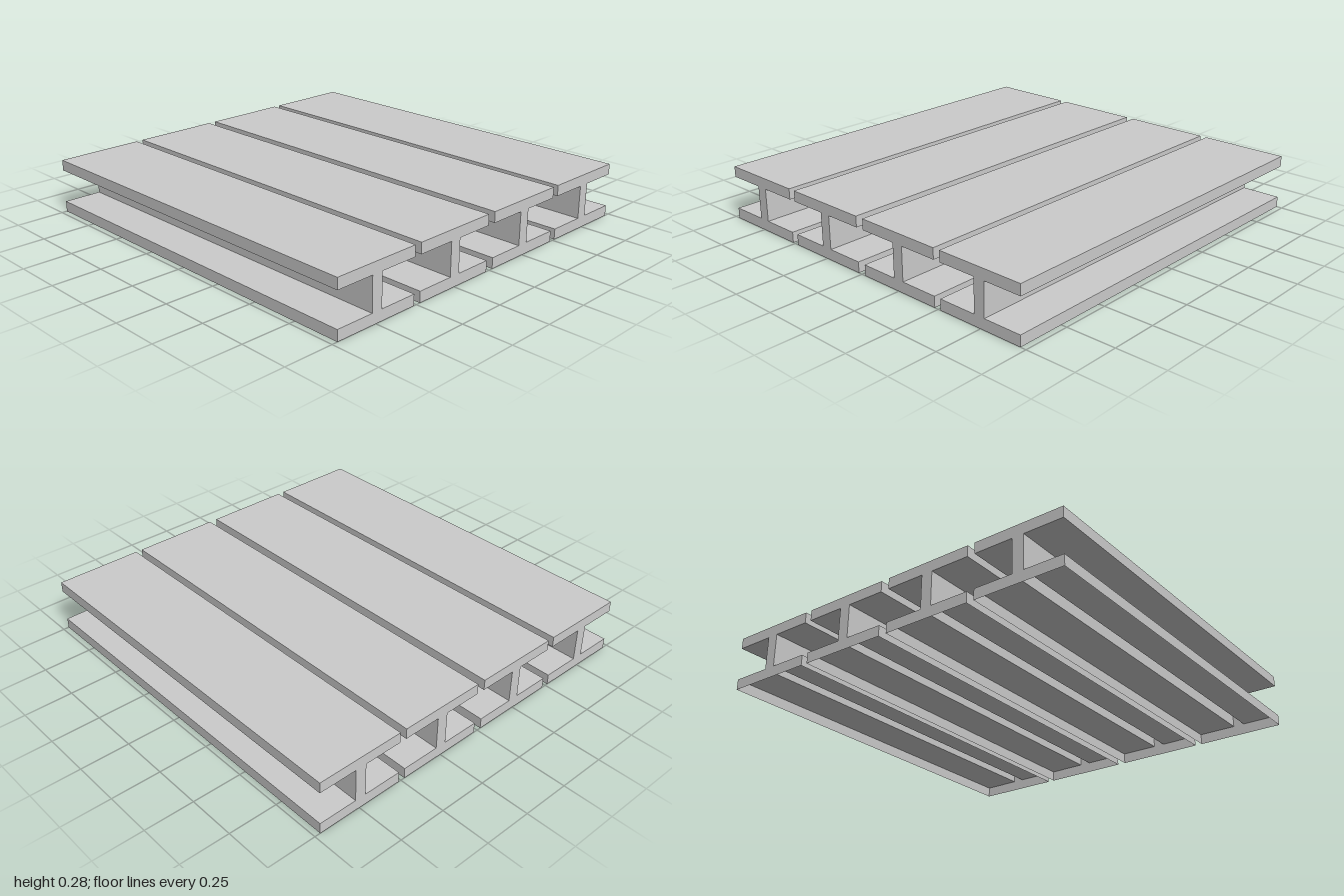
import * as THREE from 'three';

const LENGTH = 2, HEIGHT = 0.28, FLANGE = 0.055, HALF_WIDTH = 0.228, HALF_WEB = 0.029;

// I-shaped cross-section, mirrored about its web
function beamProfile() {
  const half = [
    [HALF_WIDTH, 0], [HALF_WIDTH, FLANGE], [HALF_WEB, FLANGE],
    [HALF_WEB, HEIGHT - FLANGE], [HALF_WIDTH, HEIGHT - FLANGE], [HALF_WIDTH, HEIGHT],
  ];
  const mirrored = half.map(([x, y]) => [-x, y]).reverse();
  return new THREE.Shape([...half, ...mirrored].map(([x, y]) => new THREE.Vector2(x, y)));
}

// Drop the triangles lying on the ground, leaving the hollow beam open below
function openBottom(geometry) {
  const p = geometry.attributes.position;
  const kept = [];
  for (let i = 0; i < p.count; i += 3) {
    const onGround = [0, 1, 2].every((k) => p.getY(i + k) < 1e-5);
    if (onGround) continue;
    for (let k = 0; k < 3; k++) kept.push(p.getX(i + k), p.getY(i + k), p.getZ(i + k));
  }
  const open = new THREE.BufferGeometry();
  open.setAttribute('position', new THREE.Float32BufferAttribute(kept, 3));
  open.computeVertexNormals();
  return open;
}

export function createModel() {
  const group = new THREE.Group();
  group.name = 'beamRow';
  const material = new THREE.MeshStandardMaterial({
    color: 0xcccccc, flatShading: true, side: THREE.DoubleSide,
  });

  // Extrude along the length, then lay the beam along x
  const solid = new THREE.ExtrudeGeometry(beamProfile(), { depth: LENGTH, bevelEnabled: false });
  solid.translate(0, 0, -LENGTH / 2).rotateY(Math.PI / 2);
  const geometry = openBottom(solid.index ? solid.toNonIndexed() : solid);

  // Four parallel beams with narrow gaps
  [-0.743, -0.251, 0.249, 0.743].forEach((z, i) => {
    const beam = new THREE.Mesh(geometry, material);
    beam.name = `beam${i + 1}`;
    beam.position.z = z;
    group.add(beam);
  });
  return group;
}
